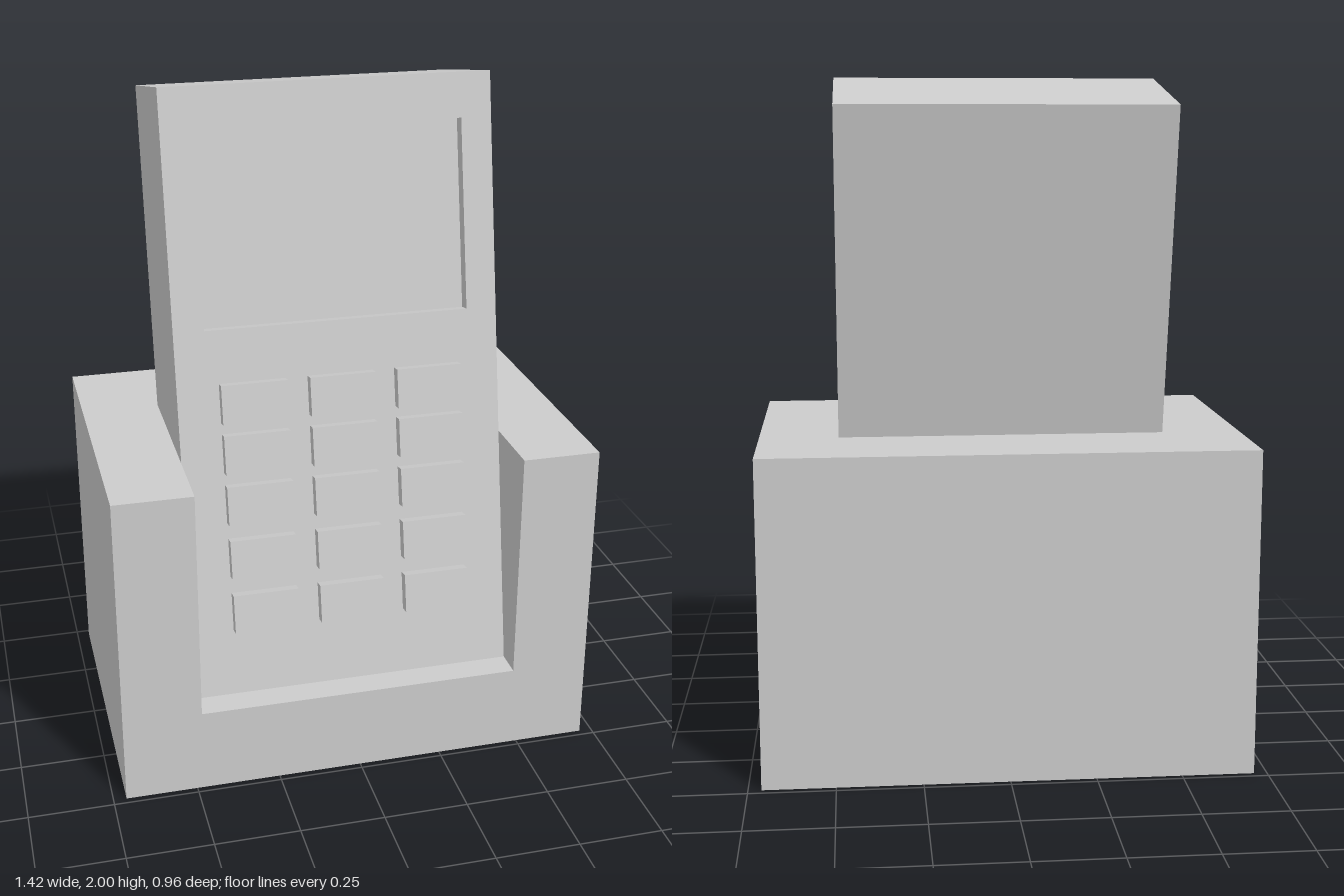
import * as THREE from 'three';

const material = new THREE.MeshStandardMaterial({ color: 0xcccccc, flatShading: true });

function add(parent, name, geometry, x = 0, y = 0, z = 0) {
  const mesh = new THREE.Mesh(geometry, material);
  mesh.name = name;
  mesh.position.set(x, y, z);
  parent.add(mesh);
  return mesh;
}

const polygon = (points) => new THREE.Shape(points.map(([x, y]) => new THREE.Vector2(x, y)));

export function createModel() {
  const model = new THREE.Group();
  model.name = 'handsetInCradle';

  const halfW = 0.48, outerW = 0.712, halfD = 0.48;
  const floorY = 0.255, cradleTop = 0.96;

  // Cradle: solid base with U-shaped walls, open to the front
  const cradle = new THREE.Group();
  cradle.name = 'cradle';
  model.add(cradle);
  add(cradle, 'cradleBase', new THREE.BoxGeometry(outerW * 2, floorY, halfD * 2), 0, floorY / 2, 0);
  const plan = polygon([
    [-outerW, -halfD], [-halfW, -halfD], [-halfW, 0.17], [halfW, 0.17],
    [halfW, -halfD], [outerW, -halfD], [outerW, halfD], [-outerW, halfD],
  ]);
  const walls = new THREE.ExtrudeGeometry(plan, { depth: cradleTop - floorY, bevelEnabled: false });
  walls.rotateX(-Math.PI / 2);
  add(cradle, 'cradleWalls', walls, 0, floorY, 0);

  // Handset leans back; its origin is the bottom edge of its front face
  const tilt = 0.19, length = 1.777, depth = 0.437, recess = 0.04;
  const handset = new THREE.Group();
  handset.name = 'handset';
  handset.position.set(0, floorY, 0.396);
  handset.rotation.x = -tilt;
  model.add(handset);
  const along = (y) => (y - floorY) / Math.cos(tilt);

  add(handset, 'handsetBody', new THREE.BoxGeometry(halfW * 2, length, depth - recess),
    0, length / 2, -recess - (depth - recess) / 2);

  // Front cover with the screen opening
  const cover = polygon([[-halfW, 0], [halfW, 0], [halfW, length], [-halfW, length]]);
  const low = along(1.33), high = along(1.873);
  cover.holes.push(polygon([[-0.39, low], [-0.39, high], [0.39, high], [0.39, low]]));
  add(handset, 'frontCover',
    new THREE.ExtrudeGeometry(cover, { depth: recess, bevelEnabled: false }), 0, 0, -recess);

  // Keypad: five rows of three raised keys
  const keyGeometry = new THREE.BoxGeometry(0.195, 0.115, 0.045);
  for (const y of [1.121, 0.976, 0.828, 0.669, 0.506]) {
    for (const x of [-0.26, 0, 0.26]) {
      add(handset, 'key', keyGeometry, x, along(y), 0.0125);
    }
  }
  return model;
}
